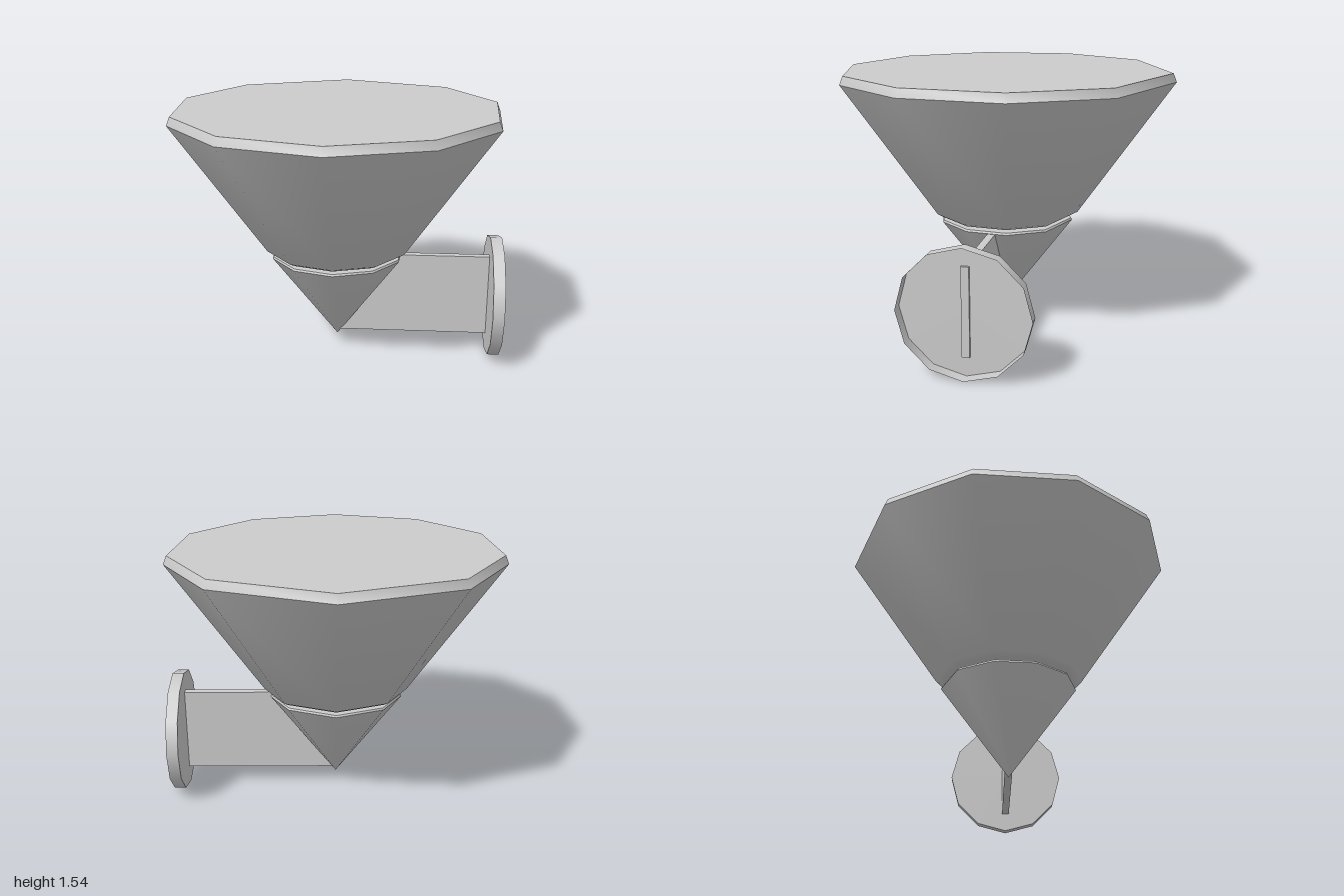
import * as THREE from 'three';
import { toCreasedNormals } from 'three/addons/utils/BufferGeometryUtils.js';

const AXIS_X = -0.02;
// Ring of ten sides: even steps from the front, with one wider step each side at the back
const STEP = 34.286;
const RING = [0, 1, 2, 3, 4, 5.25, 6.5, 7.5, 8.5, 9.5, 10.5].map(k => THREE.MathUtils.degToRad(k * STEP));

// Revolve a [radius, height] profile, then shift its spokes to the ring's angles
function turned(profile) {
  const geo = new THREE.LatheGeometry(profile.map(([r, y]) => new THREE.Vector2(r, y)), 10);
  const pos = geo.attributes.position;
  for (let i = 0; i < pos.count; i++) {
    const angle = RING[Math.floor(i / profile.length)];
    const r = profile[i % profile.length][0];
    pos.setX(i, r * Math.sin(angle));
    pos.setZ(i, r * Math.cos(angle));
  }
  return toCreasedNormals(geo, 0.8);
}

export function createModel() {
  const model = new THREE.Group();
  model.name = 'wallLamp';
  const grey = new THREE.MeshStandardMaterial({ color: 0xcccccc });
  const greyOpen = new THREE.MeshStandardMaterial({ color: 0xcccccc, side: THREE.DoubleSide });

  function add(name, geo, x, y = 0, material = grey) {
    const mesh = new THREE.Mesh(geo, material);
    mesh.name = name;
    mesh.position.set(x, y, 0);
    model.add(mesh);
    return mesh;
  }

  // Flared shade with a bevelled lip and a closed top
  add('shade', turned([[0, 0.67], [0.41, 0.67], [0.445, 0.69], [1, 1.5], [0.98, 1.55], [0, 1.55]]), AXIS_X);

  // Short neck in the gap between shade and base
  add('neck', turned([[0, 0.64], [0.275, 0.64], [0.275, 0.68], [0, 0.68]]), AXIS_X);

  // Pointed base cone
  add('baseCone', turned([[0, 0.08], [0.412, 0.638], [0.407, 0.65], [0, 0.65]]), AXIS_X);

  // Thin upright arm, its end poking just through the wall plate
  const armStart = -0.01, armEnd = 0.935;
  add('arm', new THREE.BoxGeometry(armEnd - armStart, 0.515, 0.045), (armStart + armEnd) / 2, 0.378);

  // Wall plate: a shallow cup open towards the wall
  const rim = new THREE.CylinderGeometry(0.375, 0.375, 0.07, 12, 1, true);
  rim.rotateZ(-Math.PI / 2);
  add('wallPlateRim', rim, 0.955, 0.38, greyOpen);
  const disc = new THREE.CircleGeometry(0.375, 12);
  disc.rotateY(Math.PI / 2);
  add('wallPlateFace', disc, 0.92, 0.38, greyOpen);

  return model;
}
